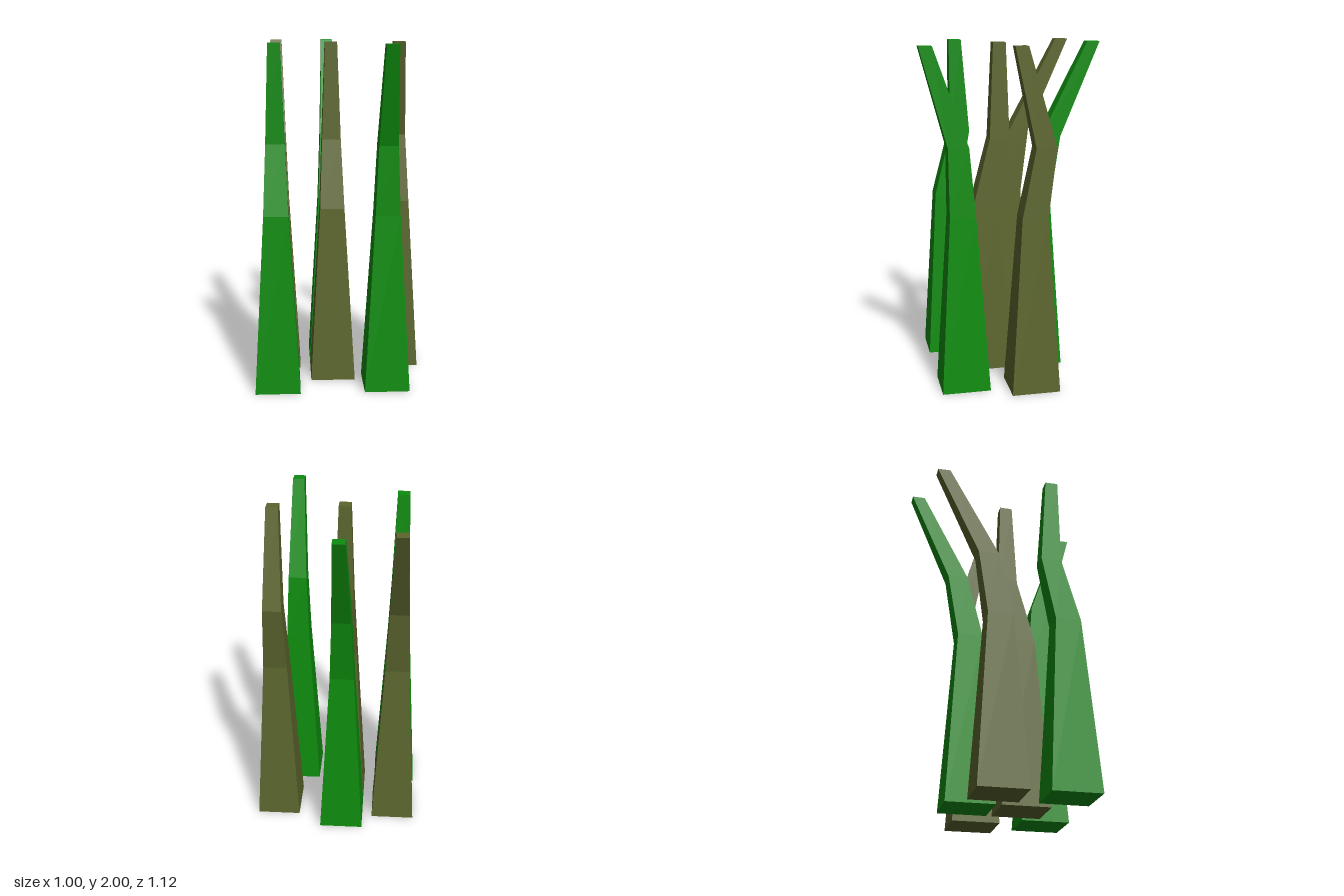
import * as THREE from 'three';

// Shared cross-sections from base to tip: height, half width, half depth
const RINGS = [
  [0, 0.131, 0.142],
  [1.04, 0.071, 0.075],
  [1.437, 0.055, 0.06],
  [2, 0.035, 0.038],
];

// A square tapering blade whose rings slide along z to make the bends
function bladeGeometry(x, zs) {
  const box = new THREE.BoxGeometry(2, 3, 2, 1, 3, 1);
  const pos = box.attributes.position;
  for (let i = 0; i < pos.count; i++) {
    const ring = Math.round(pos.getY(i) + 1.5);
    const [h, w, d] = RINGS[ring];
    pos.setXYZ(i, x + pos.getX(i) * w, h, zs[ring] + pos.getZ(i) * d);
  }
  const geo = box.toNonIndexed();
  geo.computeVertexNormals();
  return geo;
}

export function createModel() {
  const green = new THREE.MeshStandardMaterial({ color: 0x0e8c0e, flatShading: true });
  green.name = 'leaf green';
  const olive = new THREE.MeshStandardMaterial({ color: 0x5c662e, flatShading: true });
  olive.name = 'dry olive';

  // name, colour, x centre, z centre of each ring
  const blades = [
    ['backBlade', green, -0.039, [-0.18, -0.181, -0.26, -0.522]],
    ['rightOliveBlade', olive, -0.362, [-0.068, -0.068, -0.135, -0.411]],
    ['leftOliveBlade', olive, 0.366, [-0.068, -0.068, -0.135, 0.004]],
    ['centreBlade', olive, -0.039, [0.136, 0.14, 0.053, 0.05]],
    ['frontRightBlade', green, -0.368, [0.328, 0.33, 0.243, 0.264]],
    ['frontLeftBlade', green, 0.268, [0.328, 0.33, 0.348, 0.521]],
  ];

  const grass = new THREE.Group();
  grass.name = 'grassTuft';
  for (const [name, material, x, zs] of blades) {
    const mesh = new THREE.Mesh(bladeGeometry(x, zs), material);
    mesh.name = name;
    grass.add(mesh);
  }
  return grass;
}
